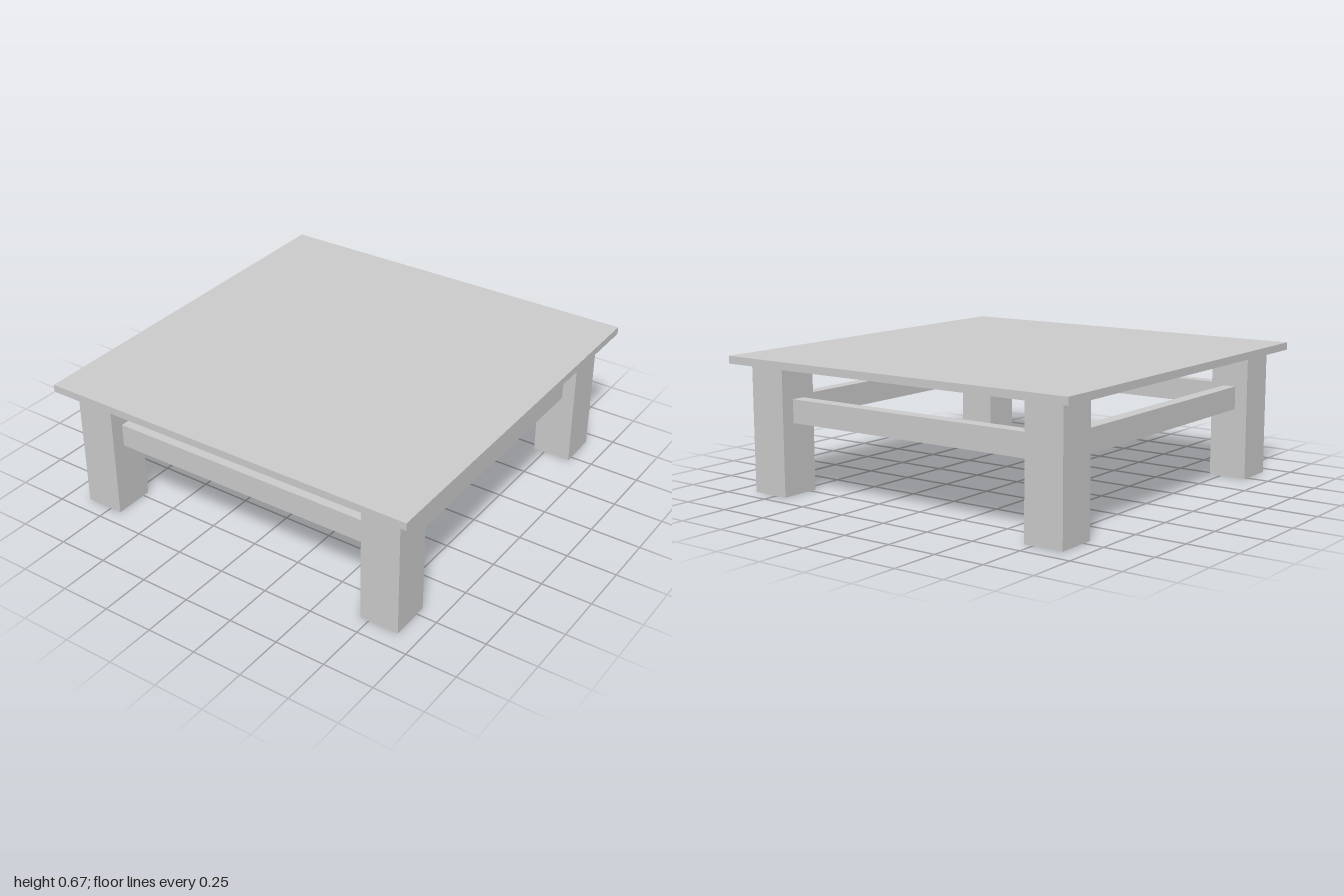
import * as THREE from 'three';

export function createModel() {
  const table = new THREE.Group();
  table.name = 'coffeeTable';
  const material = new THREE.MeshStandardMaterial({ color: 0xcccccc, flatShading: true });

  const box = (name, w, h, d, x, y, z) => {
    const mesh = new THREE.Mesh(new THREE.BoxGeometry(w, h, d), material);
    mesh.name = name;
    mesh.position.set(x, y, z);
    table.add(mesh);
  };

  const legW = 0.195, legD = 0.205, legH = 0.63; // leg section and height
  const legX = 0.795, legZ = 0.812;              // leg centres
  const topT = 0.037;
  const railH = 0.115, railY = 0.408;

  // Thin slab top
  box('tableTop', 1.935, topT, 1.983, 0, legH + topT / 2, 0);

  // Four square legs
  for (const sx of [-1, 1])
    for (const sz of [-1, 1])
      box(`${sz > 0 ? 'front' : 'back'}${sx > 0 ? 'Left' : 'Right'}Leg`,
        legW, legH, legD, sx * legX, legH / 2, sz * legZ);

  // Stretcher rails centred on the legs, butting against their inner faces
  for (const s of [-1, 1]) {
    box(s > 0 ? 'frontRail' : 'backRail', 2 * legX - legW, railH, legD / 3, 0, railY, s * legZ);
    box(s > 0 ? 'leftRail' : 'rightRail', legW / 3, railH, 2 * legZ - legD, s * legX, railY, 0);
  }

  // The whole table stands very slightly turned
  table.rotation.y = 0.0088;
  const model = new THREE.Group();
  model.name = 'table';
  model.add(table);
  return model;
}
